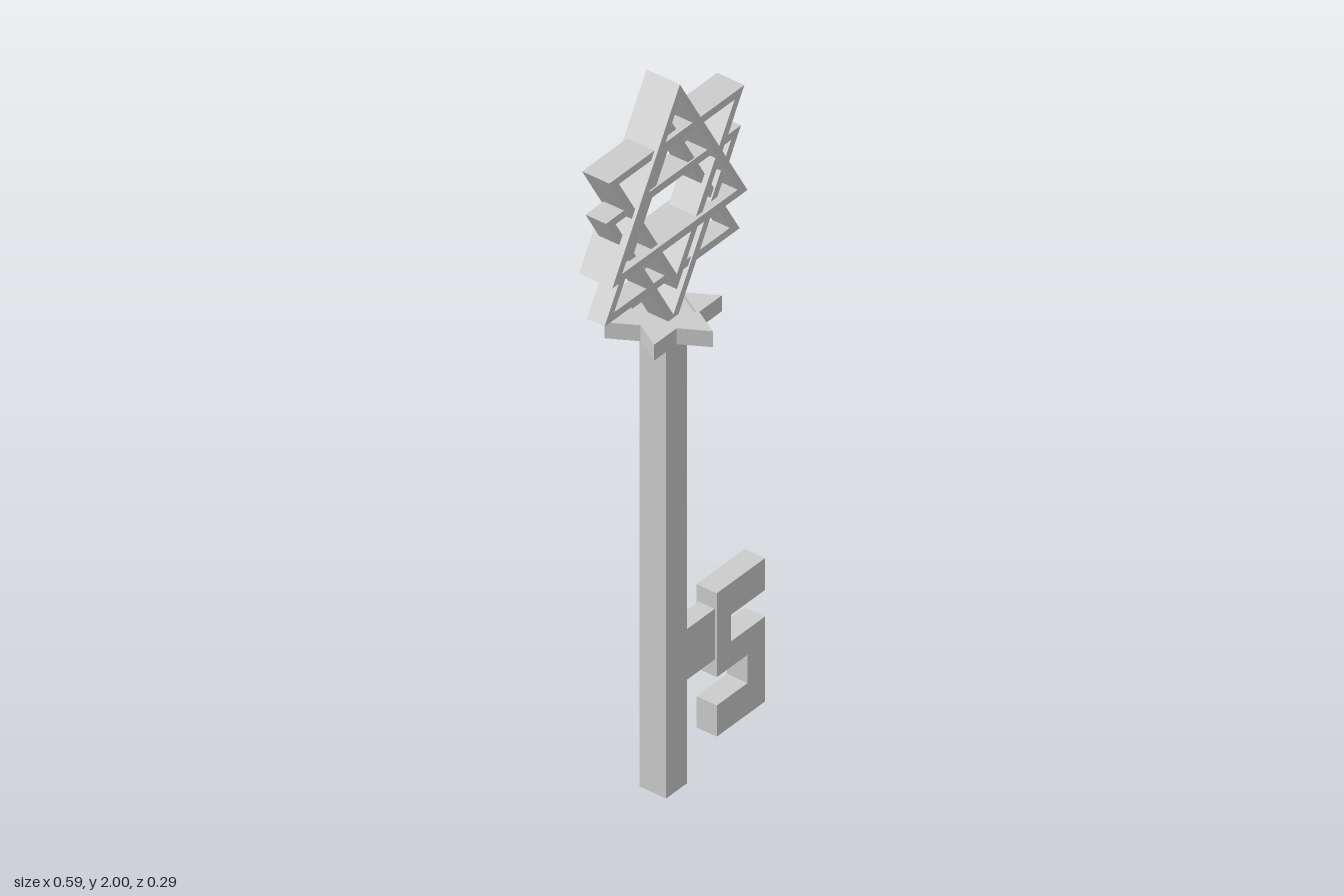
import * as THREE from 'three';

const CX = -0.045; // x of the shaft axis
const material = new THREE.MeshStandardMaterial({ color: 0xcccccc, flatShading: true });

// Regular polygon or star points; radii alternate through the list
function ring(count, radii, start) {
  return Array.from({ length: count }, (_, i) => {
    const a = start + (i * 2 * Math.PI) / count;
    const r = radii[i % radii.length];
    return new THREE.Vector2(r * Math.cos(a), r * Math.sin(a));
  });
}

// Prism of the given outline, centred in depth
function prism(outline, depth, hole) {
  const shape = new THREE.Shape(outline);
  if (hole) shape.holes.push(new THREE.Path(hole));
  const geometry = new THREE.ExtrudeGeometry(shape, { depth, bevelEnabled: false });
  return geometry.translate(0, 0, -depth / 2);
}

export function createModel() {
  const model = new THREE.Group();
  const add = (name, geometry, x, y, z = 0) => {
    const mesh = new THREE.Mesh(geometry, material);
    mesh.name = name;
    mesh.position.set(x, y, z);
    model.add(mesh);
    return mesh;
  };

  // Square shaft
  add('shaft', new THREE.BoxGeometry(0.078, 1.31, 0.078), CX, 0.655);

  // Bow: four interlocked triangular frames [apex height, direction, depth]
  const R = 0.2915, bar = 0.021;
  const frames = [
    [2.0, 1, 0.098],
    [1.418, -1, 0.08],
    [1.882, 1, 0.052],
    [1.3, -1, 0.06],
  ];
  frames.forEach(([apex, dir, depth], i) => {
    const start = (dir * Math.PI) / 2;
    const geometry = prism(ring(3, [R], start), depth, ring(3, [R - 2 * bar], start));
    add(`bowTriangle${i + 1}`, geometry, CX, apex - dir * R);
  });

  // Six-pointed collar with a shallow hexagonal recess
  const starR = 0.1458;
  const star = ring(12, [starR, starR / Math.sqrt(3)], Math.PI / 2);
  const hexagon = ring(6, [0.0773], 0);
  const rim = add('collarRim', prism(star, 0.045, hexagon), CX, 1.3225);
  const floor = add('collarFloor', prism(hexagon, 0.033), CX, 1.3165);
  rim.rotation.x = floor.rotation.x = -Math.PI / 2;

  // Stem joining the bit to the shaft
  add('bitStem', new THREE.BoxGeometry(0.15, 0.143, 0.048), 0.055, 0.347);

  // Stepped bit
  const bit = [
    [0.117, 0.465], [0.117, 0.228], [0.232, 0.228], [0.232, 0.148], [0.117, 0.148], [0.117, 0.06],
    [0.297, 0.06], [0.297, 0.3], [0.17, 0.3], [0.17, 0.375], [0.297, 0.375], [0.297, 0.465],
  ].map(([x, y]) => new THREE.Vector2(x, y));
  add('bit', prism(bit, 0.06), 0, 0);

  return model;
}
